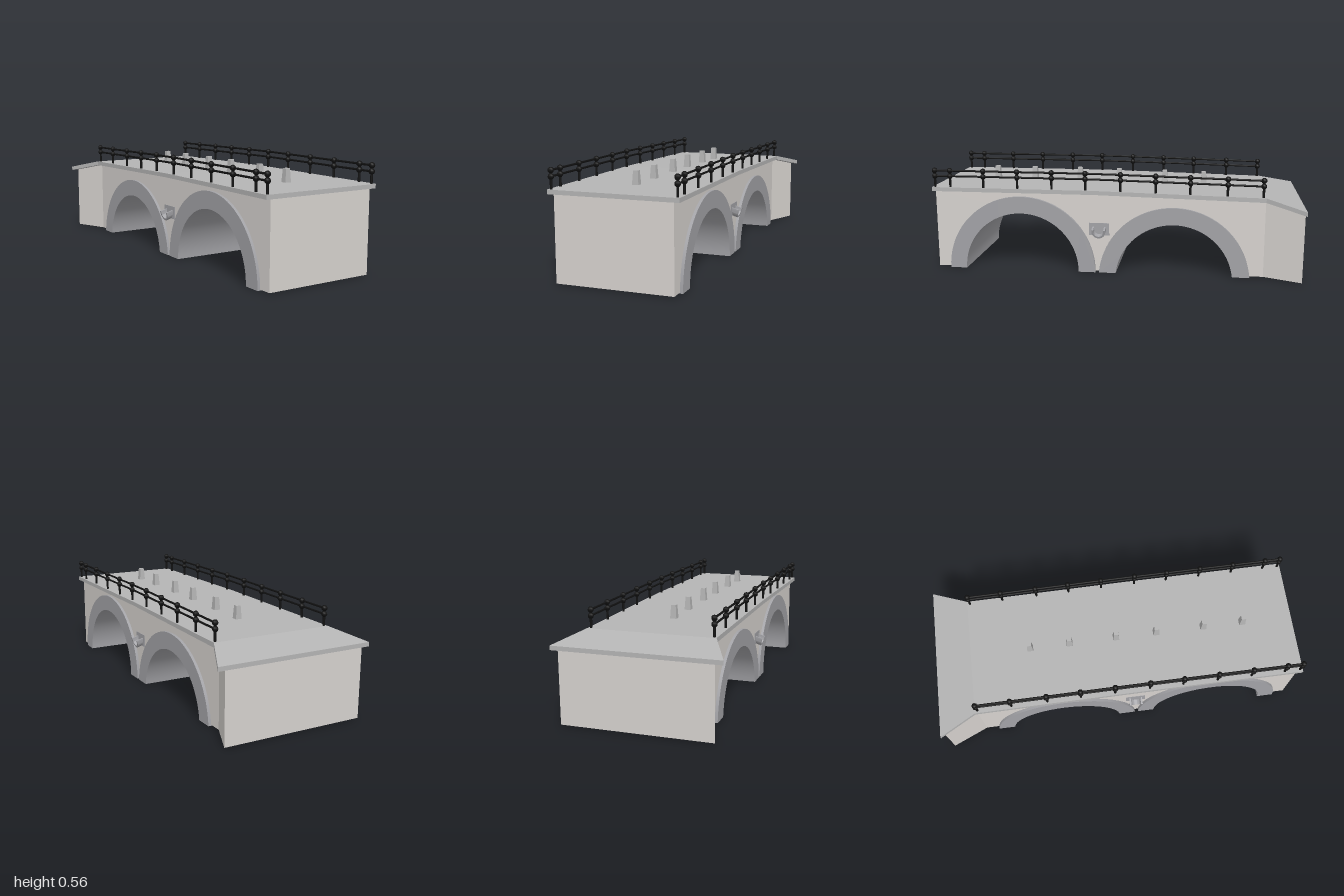
import * as THREE from 'three';
import { toCreasedNormals } from 'three/addons/utils/BufferGeometryUtils.js';

const mat = (color) => new THREE.MeshStandardMaterial({ color });

// Deck surface height along the bridge: level, then falling towards the back
const deckY = (z) => (z > 0.1 ? 0.457 : 0.457 - (0.1 - z) * 0.0195);

// Points of an arch curve, cut off at height base
function arc(a, r, base, n = 40) {
  const start = Math.asin((base - a.y) / r);
  return Array.from({ length: n + 1 }, (_, i) => {
    const t = start + (Math.PI - 2 * start) * (i / n);
    return new THREE.Vector2(a.z + r * Math.cos(t), a.y + r * Math.sin(t));
  });
}

// Extrude a (z, y) outline across the bridge from -half to +half
function across(points, half) {
  const geo = new THREE.ExtrudeGeometry(new THREE.Shape(points), { depth: half * 2, bevelEnabled: false });
  geo.rotateY(-Math.PI / 2).translate(half, 0, 0);
  return toCreasedNormals(geo, 0.5);
}

// Solid through rectangular sections [z, half width, bottom, top], front to back
function loft(sections) {
  const rings = sections.map(([z, w, b, t]) => [[-w, b, z], [w, b, z], [w, t, z], [-w, t, z]]);
  const pos = [];
  const quad = (a, b, c, d) => pos.push(...a, ...b, ...c, ...a, ...c, ...d);
  for (let i = 0; i < rings.length - 1; i++) {
    for (let j = 0; j < 4; j++) {
      const k = (j + 1) % 4;
      quad(rings[i][k], rings[i][j], rings[i + 1][j], rings[i + 1][k]);
    }
  }
  const last = rings[rings.length - 1];
  quad(...rings[0]);
  quad(last[1], last[0], last[3], last[2]);
  const geo = new THREE.BufferGeometry();
  geo.setAttribute('position', new THREE.Float32BufferAttribute(pos, 3));
  geo.computeVertexNormals();
  return geo;
}

export function createModel() {
  const model = new THREE.Group();
  const wall = mat(0xd6d2ce), paving = mat(0xb4b4b4), stone = mat(0xa2a2a6), iron = mat(0x111111);
  const add = (name, geo, material, parent = model) => {
    const mesh = new THREE.Mesh(geo, material);
    mesh.name = name;
    parent.add(mesh);
    return mesh;
  };
  const arches = [{ z: 0.512, y: 0.003 }, { z: -0.322, y: -0.038 }];

  // Main wall with both arches cut out of its lower edge
  const base = 0.005;
  const outline = [
    new THREE.Vector2(-0.8, base), new THREE.Vector2(-0.8, 0.42),
    new THREE.Vector2(0.1, 0.437), new THREE.Vector2(0.99, 0.437), new THREE.Vector2(0.99, base),
    ...arches.flatMap((a) => arc(a, 0.36, base)),
  ];
  add('bridgeWall', across(outline, 0.3), wall);
  add('flaredAbutment', loft([[-0.8, 0.3, base, 0.42], [-0.995, 0.385, base, 0.374]]), wall);

  // Arch rings, standing slightly proud of the wall
  for (const a of arches) {
    const ring = [...arc(a, 0.408, 0), ...arc(a, 0.316, 0).reverse()];
    add('archRing', across(ring, 0.315), stone);
  }

  // Deck slab with its flared, sloping approach
  add('deck', loft([
    [1, 0.33, 0.435, 0.457], [0.1, 0.33, 0.435, 0.457],
    [-0.8, 0.33, 0.416, 0.4395], [-1, 0.425, 0.37, 0.392],
  ]), paving);

  // Row of tapered square bollards down the middle
  for (const z of [-0.47, -0.25, 0.01, 0.235, 0.5, 0.72]) {
    const geo = toCreasedNormals(new THREE.CylinderGeometry(0.0175, 0.0245, 0.075, 4).rotateY(Math.PI / 4), 0.5);
    add('bollard', geo, paving).position.set(0, deckY(z) + 0.0325, z);
  }

  // Railings: posts with two knobs each, joined by two rails
  const posts = [0.985, 0.9, 0.715, 0.527, 0.338, 0.155, -0.035, -0.222, -0.405, -0.6, -0.785];
  const levels = [0.06, 0.09];
  const postGeo = new THREE.CylinderGeometry(0.0065, 0.0065, 0.1, 8);
  const knobGeo = new THREE.SphereGeometry(0.0155, 8, 6);
  for (const side of [1, -1]) {
    const railing = new THREE.Group();
    railing.name = side > 0 ? 'leftRailing' : 'rightRailing';
    railing.position.x = side * 0.315;
    model.add(railing);
    posts.forEach((z, i) => {
      const y = deckY(z);
      add('post', postGeo, iron, railing).position.set(0, y + 0.045, z);
      for (const h of levels) {
        add('knob', knobGeo, iron, railing).position.set(0, y + h, z);
        if (i === 0) continue;
        const from = new THREE.Vector3(0, deckY(posts[i - 1]) + h, posts[i - 1]);
        const path = new THREE.LineCurve3(from, new THREE.Vector3(0, y + h, z));
        add('rail', new THREE.TubeGeometry(path, 1, 0.0055, 8), iron, railing);
      }
    });
  }

  // Drain spouts over the middle pier: U-shaped channel on a thin plate
  const channel = new THREE.Shape();
  channel.absarc(0, 0, 0.037, Math.PI, Math.PI * 2, false);
  channel.lineTo(0.037, 0.012).lineTo(0.027, 0.012).lineTo(0.027, 0);
  channel.absarc(0, 0, 0.027, Math.PI * 2, Math.PI, true);
  channel.lineTo(-0.027, 0.012).lineTo(-0.037, 0.012);
  for (const side of [1, -1]) {
    const geo = new THREE.ExtrudeGeometry(channel, { depth: 0.06, bevelEnabled: false, curveSegments: 12 });
    const spout = new THREE.Group();
    spout.name = side > 0 ? 'leftSpout' : 'rightSpout';
    spout.position.set(side * 0.28, 0.249, 0.083);
    spout.rotation.y = side * Math.PI / 2;
    model.add(spout);
    add('spoutChannel', toCreasedNormals(geo, 0.5), stone, spout).rotation.x = 0.3;
    add('spoutPlate', new THREE.BoxGeometry(0.11, 0.068, 0.004), stone, spout).position.set(0, -0.008, 0.02);
  }
  return model;
}
